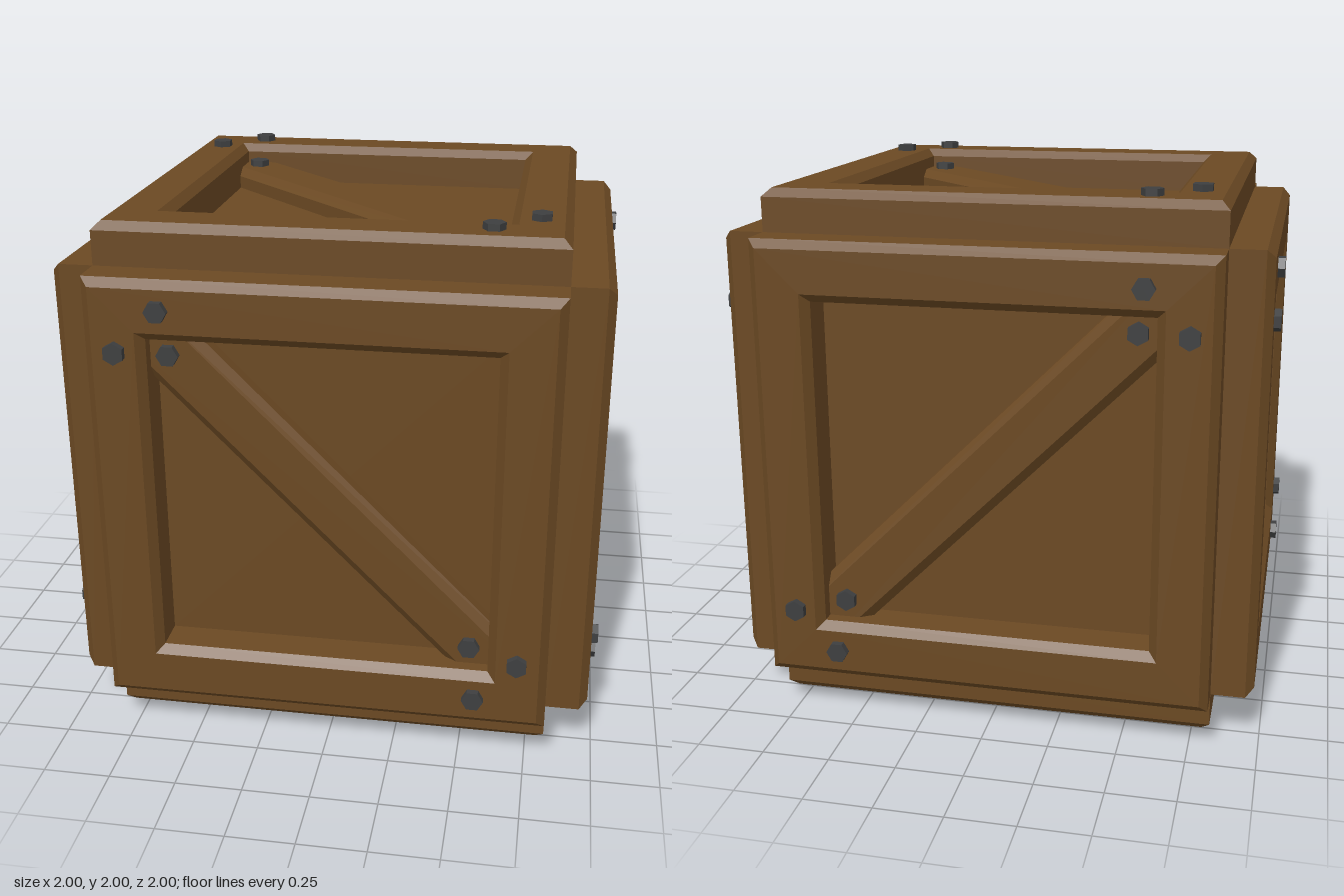
import * as THREE from 'three';

const CORE = 0.82;   // half size of the inner box
const FACE = 0.975;  // height of the frame faces above the centre
const BRACE = 0.90;  // height of the brace tops above the centre
const CHAMFER = 0.03;

function facet(geometry) {
  const g = geometry.index ? geometry.toNonIndexed() : geometry;
  g.computeVertexNormals();
  return g;
}

// Square picture frame with chamfered rims, facing +z
function frameGeometry() {
  const profile = [
    [0.82, CORE], [0.82, FACE - CHAMFER], [0.79, FACE],
    [0.635, FACE], [0.605, FACE - CHAMFER], [0.605, CORE],
  ].map(([half, h]) => new THREE.Vector2(half * Math.SQRT2, h));
  const g = new THREE.LatheGeometry(profile, 4, Math.PI / 4);
  g.rotateX(Math.PI / 2);
  return facet(g);
}

// Chamfered diagonal plank from upper left to lower right, facing +z
function braceGeometry() {
  const w = 0.115, t = 0.082, length = 1.94;
  const section = new THREE.Shape([
    [-w, CORE - 0.01], [w, CORE - 0.01], [w, BRACE - CHAMFER],
    [t, BRACE], [-t, BRACE], [-w, BRACE - CHAMFER],
  ].map(([x, y]) => new THREE.Vector2(x, y)));
  const g = new THREE.ExtrudeGeometry(section, { depth: length, bevelEnabled: false });
  g.translate(0, 0, -length / 2);
  g.rotateX(Math.PI / 2);
  g.rotateZ(Math.PI / 4);
  return facet(g);
}

// Bolt heads: x, y, surface height, turn
const BOLTS = [
  [-0.55, 0.717, FACE, Math.PI / 6],
  [-0.707, 0.562, FACE, 0],
  [-0.54, 0.537, BRACE, Math.PI / 6],
  [0.532, -0.533, BRACE, Math.PI / 6],
  [0.71, -0.548, FACE, 0],
  [0.556, -0.705, FACE, Math.PI / 6],
];

// Outward direction of each side (Euler x, y) and whether its pattern is turned a quarter
const SIDES = [
  ['front', 0, 0, false],
  ['back', 0, Math.PI, true],
  ['rightSide', 0, Math.PI / 2, true],
  ['leftSide', 0, -Math.PI / 2, false],
  ['top', -Math.PI / 2, 0, false],
  ['bottom', Math.PI / 2, 0, true],
];

export function createModel() {
  const wood = new THREE.MeshStandardMaterial({ color: 0x6b4923 });
  wood.name = 'brown wood';
  const iron = new THREE.MeshStandardMaterial({ color: 0x3e3f40 });
  iron.name = 'dark iron';

  const model = new THREE.Group();
  model.name = 'crate';
  const add = (parent, name, geometry, material) => {
    const mesh = new THREE.Mesh(geometry, material);
    mesh.name = name;
    parent.add(mesh);
    return mesh;
  };

  // Inner box, whose faces are the recessed panels
  add(model, 'panels', new THREE.BoxGeometry(2 * CORE, 2 * CORE, 2 * CORE), wood).position.y = 1;

  const frame = frameGeometry();
  const brace = braceGeometry();
  const bolt = facet(new THREE.CylinderGeometry(0.04, 0.04, 0.035, 6).rotateX(Math.PI / 2));

  // Six sides, each with a frame, a brace and six bolts
  for (const [name, rx, ry, turned] of SIDES) {
    const side = new THREE.Group();
    side.name = name;
    side.position.y = 1;
    side.rotation.set(rx, ry, 0);
    model.add(side);

    const pattern = new THREE.Group();
    pattern.name = name + 'Boards';
    pattern.rotation.z = turned ? -Math.PI / 2 : 0;
    side.add(pattern);

    add(pattern, 'frame', frame, wood);
    add(pattern, 'brace', brace, wood);
    for (const [x, y, h, turn] of BOLTS) {
      const head = add(pattern, 'bolt', bolt, iron);
      head.position.set(x, y, h + 0.0075);
      head.rotation.z = turn;
    }
  }
  return model;
}
